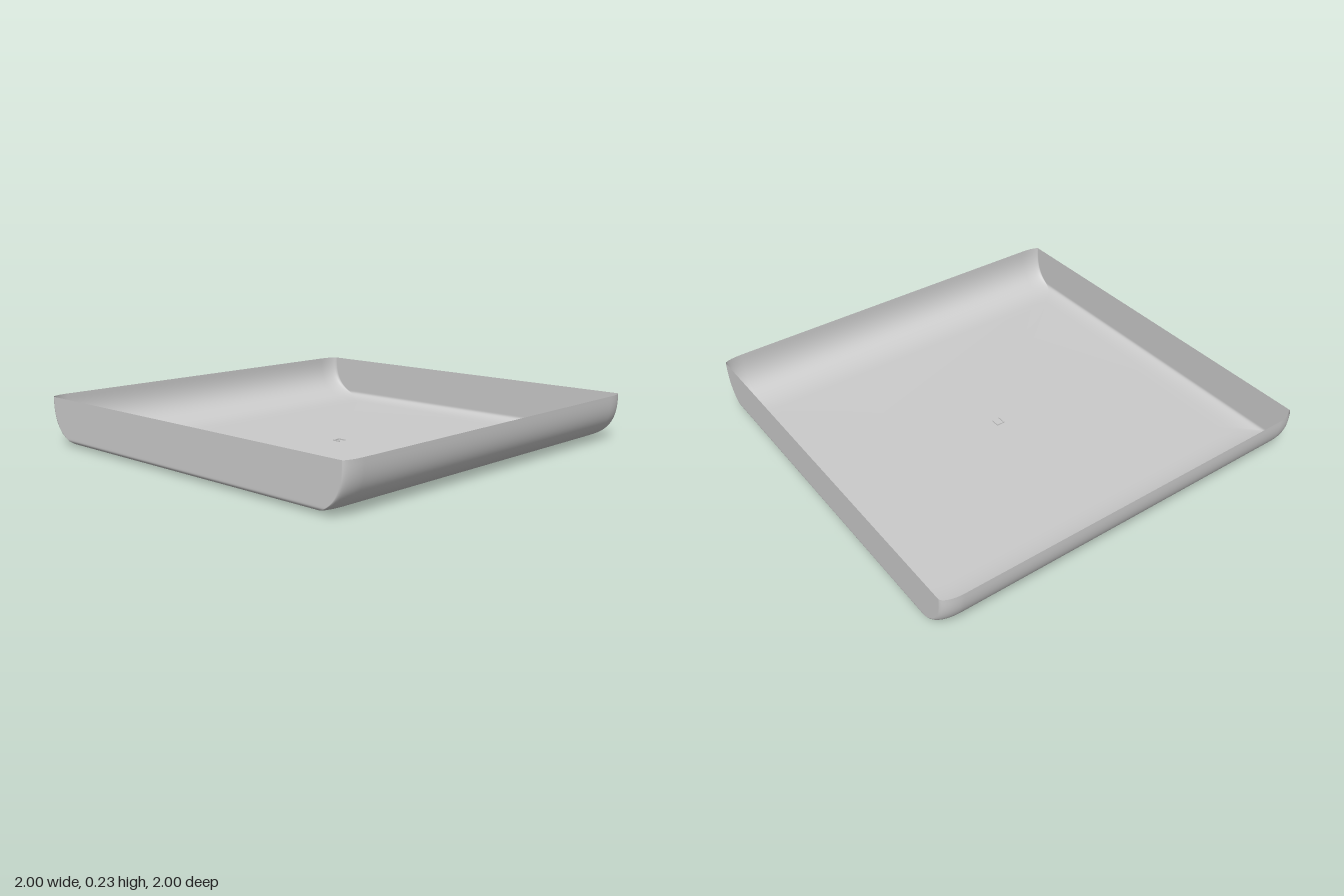
import * as THREE from 'three';

const HEIGHT = 0.23;
const POWER = 2.65;
const LEVELS = 36;
const CORNER_STEPS = 8;

// Inward distance of a wall at height y, for a bend of the given reach and rise
function inset(y, reach, rise) {
  const v = Math.max(0, 1 - y / rise);
  return reach * (1 - Math.pow(1 - Math.pow(v, POWER), 1 / POWER));
}

// Rounded rectangle outline at height y
function ring(y) {
  const x = 1 - inset(y, 0.13, 0.035);
  const front = 1 - inset(y, 0.25, HEIGHT);
  const back = -1 + inset(y, 0.3, HEIGHT);
  const corners = [
    [1, front, 1, 0.025], [-1, front, 1, 0.025],
    [-1, back, -1, 0.04], [1, back, -1, 0.04],
  ];
  const points = [];
  corners.forEach(([sx, z, sz, rz], c) => {
    for (let i = 0; i <= CORNER_STEPS; i++) {
      const a = (c + i / CORNER_STEPS) * Math.PI / 2;
      points.push(
        sx * (x - 0.1) + 0.1 * Math.cos(a),
        y,
        z - sz * rz + rz * Math.sin(a),
      );
    }
  });
  return points;
}

// Open shell: flat floor fan, then rings rising to the rim
function trayGeometry() {
  const positions = [0, 0, 0];
  const index = [];
  const n = 4 * (CORNER_STEPS + 1);
  for (let l = 0; l <= LEVELS; l++) {
    const t = (l / LEVELS) * Math.PI / 2;
    const y = HEIGHT * (1 - Math.pow(Math.max(0, Math.cos(t)), 2 / POWER));
    positions.push(...ring(y));
    for (let i = 0; i < n; i++) {
      const j = (i + 1) % n;
      const a = 1 + l * n + i, b = 1 + l * n + j;
      if (l === 0) index.push(0, a, b);
      else index.push(a - n, a, b, a - n, b, b - n);
    }
  }
  const geometry = new THREE.BufferGeometry();
  geometry.setAttribute('position', new THREE.Float32BufferAttribute(positions, 3));
  geometry.setIndex(index);
  geometry.computeVertexNormals();
  return geometry;
}

export function createModel() {
  const model = new THREE.Group();
  const material = new THREE.MeshStandardMaterial({ color: 0xcccccc, side: THREE.DoubleSide });

  const tray = new THREE.Mesh(trayGeometry(), material);
  tray.name = 'tray';
  model.add(tray);

  // Tiny U-shaped mark at the middle of the floor
  const mark = new THREE.Group();
  mark.name = 'floorMark';
  const bars = [[0, -0.008, 0.044, 0.004], [-0.02, 0.014, 0.004, 0.04], [0.02, 0.014, 0.004, 0.04]];
  for (const [x, z, w, d] of bars) {
    const bar = new THREE.Mesh(new THREE.BoxGeometry(w, 0.006, d), material);
    bar.position.set(x, 0.003, z);
    bar.name = 'markBar';
    mark.add(bar);
  }
  model.add(mark);
  return model;
}
